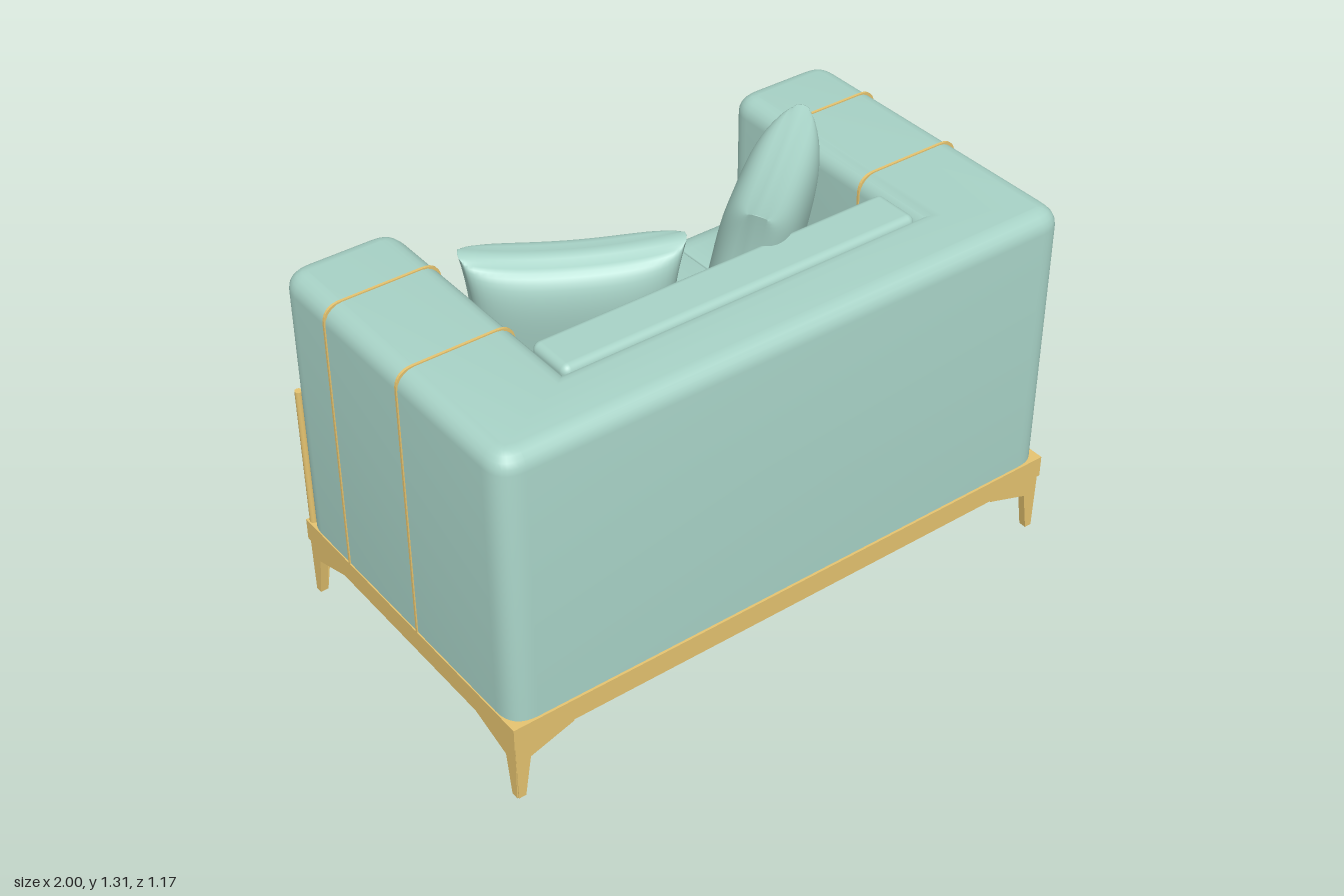
import * as THREE from 'three';
import { toCreasedNormals, mergeVertices } from 'three/addons/utils/BufferGeometryUtils.js';
import { RoundedBoxGeometry } from 'three/addons/geometries/RoundedBoxGeometry.js';

const fabric = new THREE.MeshStandardMaterial({ name: 'sage fabric', color: 0xa8d3c7 });
const gold = new THREE.MeshStandardMaterial({ name: 'brushed gold', color: 0xe6c470 });

export function createModel() {
  const root = new THREE.Group();
  root.name = 'armchair';

  const add = (name, geo, mat, x = 0, y = 0, z = 0) => {
    const m = new THREE.Mesh(geo, mat);
    m.name = name;
    m.position.set(x, y, z);
    root.add(m);
    return m;
  };
  const box = (name, mat, x0, x1, y0, y1, z0, z1) =>
    add(name, new THREE.BoxGeometry(x1 - x0, y1 - y0, z1 - z0), mat, (x0 + x1) / 2, (y0 + y1) / 2, (z0 + z1) / 2);

  // Closed shape from corners [x, y, radius]
  const roundedShape = (pts) => {
    const s = new THREE.Shape();
    const n = pts.length;
    pts.forEach(([x, y, r = 0], i) => {
      const toward = ([px, py]) => {
        const d = Math.hypot(px - x, py - y);
        return [x + ((px - x) / d) * r, y + ((py - y) / d) * r];
      };
      const a = toward(pts[(i + n - 1) % n]);
      const b = toward(pts[(i + 1) % n]);
      if (i === 0) s.moveTo(...a); else s.lineTo(...a);
      if (r) s.quadraticCurveTo(x, y, ...b);
    });
    s.closePath();
    return s;
  };
  const extrude = (pts, depth, bevel = 0) => new THREE.ExtrudeGeometry(roundedShape(pts), {
    depth, bevelEnabled: bevel > 0, bevelThickness: bevel, bevelSize: bevel,
    bevelOffset: -bevel, bevelSegments: 5, curveSegments: 8,
  });

  // U-shaped shell: arms and back in one, rounded on top and flat below
  const R = 0.085, B = 0.058;
  const shell = extrude([
    [-0.996, -0.577, R], [0.994, -0.577, R], [0.994, 0.541, R], [0.62, 0.541, R],
    [0.62, -0.325], [-0.62, -0.325], [-0.62, 0.541, R], [-0.996, 0.541, R],
  ], 1 - 2 * B, B);
  shell.rotateX(-Math.PI / 2).translate(0, 0.2 + B, 0);
  const sp = shell.attributes.position;
  for (let i = 0; i < sp.count; i++) sp.setY(i, Math.max(sp.getY(i), 0.265));
  add('shell', toCreasedNormals(shell, 0.7), fabric);

  // Deck below the seat, and the underside
  box('seatDeck', fabric, -0.7, 0.7, 0.265, 0.45, -0.54, 0.4);
  box('underside', fabric, -0.97, 0.97, 0.22, 0.268, -0.515, 0.555);

  // Five channelled seat cushions
  const edges = [-0.645, -0.398, -0.135, 0.126, 0.39, 0.641];
  const b = 0.009;
  for (let i = 0; i < 5; i++) {
    const channel = extrude([
      [-0.3, 0.44], [0.589, 0.44, 0.02], [0.589, 0.73, 0.11], [-0.3, 0.745],
    ], edges[i + 1] - edges[i] - 2 * b, b).rotateY(Math.PI / 2);
    add('seatChannel', toCreasedNormals(channel, 0.7), fabric, edges[i] + b);
  }

  // Back cushion
  add('backCushion', new RoundedBoxGeometry(1.25, 0.53, 0.165, 4, 0.025), fabric, 0, 0.93, 0.2535);

  // Plump square pillows with a slim rounded rim and pulled-out corners
  const pillowBox = new THREE.BoxGeometry(2, 2, 2, 28, 28, 4);
  pillowBox.deleteAttribute('normal');
  pillowBox.deleteAttribute('uv');
  const pillowGeo = mergeVertices(pillowBox);
  const pp = pillowGeo.attributes.position;
  for (let i = 0; i < pp.count; i++) {
    const u = Math.sin(pp.getX(i) * Math.PI / 2), v = Math.sin(pp.getY(i) * Math.PI / 2);
    const w = Math.sin(pp.getZ(i) * Math.PI / 2);
    const puff = Math.pow(Math.max(0, (1 - u ** 4) * (1 - v ** 4)), 0.42);
    const size = 0.31 + 0.01 * Math.sqrt(Math.max(0, 1 - w * w));
    pp.setXYZ(i,
      u * size * (1 - 0.1 * (1 - v * v)),
      v * size * (1 - 0.1 * (1 - u * u)),
      w * (0.026 + 0.094 * puff));
  }
  pillowGeo.computeVertexNormals();
  for (const [x, z, turn] of [[-0.33, -0.053, -29], [0.35, -0.05, 39]]) {
    const p = add('pillow', pillowGeo, fabric, x, 0.997, z);
    p.rotation.set(THREE.MathUtils.degToRad(11), THREE.MathUtils.degToRad(turn), 0, 'YXZ');
  }

  // Gold rail frame
  box('rearRail', gold, -1, 1, 0.2, 0.275, 0.54, 0.585);
  box('frontRail', gold, -1, 1, 0.2, 0.275, -0.545, -0.5);
  for (const s of [-1, 1]) {
    const side = box('sideRail', gold, 0.955, 1, 0.2, 0.275, -0.5, 0.54);
    side.position.x *= s;
  }

  // Angle legs: two tapered brackets meeting at each corner
  const legPts = [[0, 0.2], [0.2, 0.2], [0.2, 0.19], [0.05, 0.14], [0.028, 0], [0.004, 0]];
  const across = extrude(legPts.slice().reverse(), 0.026);
  const along = across.clone().rotateY(-Math.PI / 2).translate(0.026, 0, 0);
  for (const sx of [-1, 1]) {
    for (const sz of [-1, 1]) {
      const leg = new THREE.Group();
      leg.name = 'leg';
      for (const g of [across, along]) {
        const m = new THREE.Mesh(g, gold);
        m.name = 'legBracket';
        leg.add(m);
      }
      leg.position.set(sx * 0.995, 0, sz > 0 ? 0.58 : -0.54);
      leg.scale.set(-sx, 1, -sz);
      root.add(leg);
    }
  }

  // Gold bands over the arms, corner bars and spindle ornaments
  const bandGeo = extrude([
    [0.616, 0.27], [1, 0.27], [1, 1.204, 0.06], [0.616, 1.204, 0.06],
  ], 0.008);
  const spindlePts = [
    [0, 0.365], [-0.011, 0.08], [-0.016, 0.045], [-0.033, 0], [-0.016, -0.045], [-0.011, -0.08],
    [0, -0.365], [0.011, -0.08], [0.016, -0.045], [0.033, 0], [0.016, 0.045], [0.011, 0.08],
  ];
  const spindleGeo = extrude(spindlePts, 0.009);
  const barGeo = new THREE.CylinderGeometry(0.012, 0.012, 0.5, 12);
  for (const s of [-1, 1]) {
    for (const z of [0.081, -0.294]) add('armBand', bandGeo, gold, 0, 0, z).scale.x = s;
    add('spindleOrnament', spindleGeo, gold, s * 0.812, 0.735, -0.547);
    add('cornerBar', barGeo, gold, s * 0.984, 0.52, -0.526);
  }

  return root;
}
